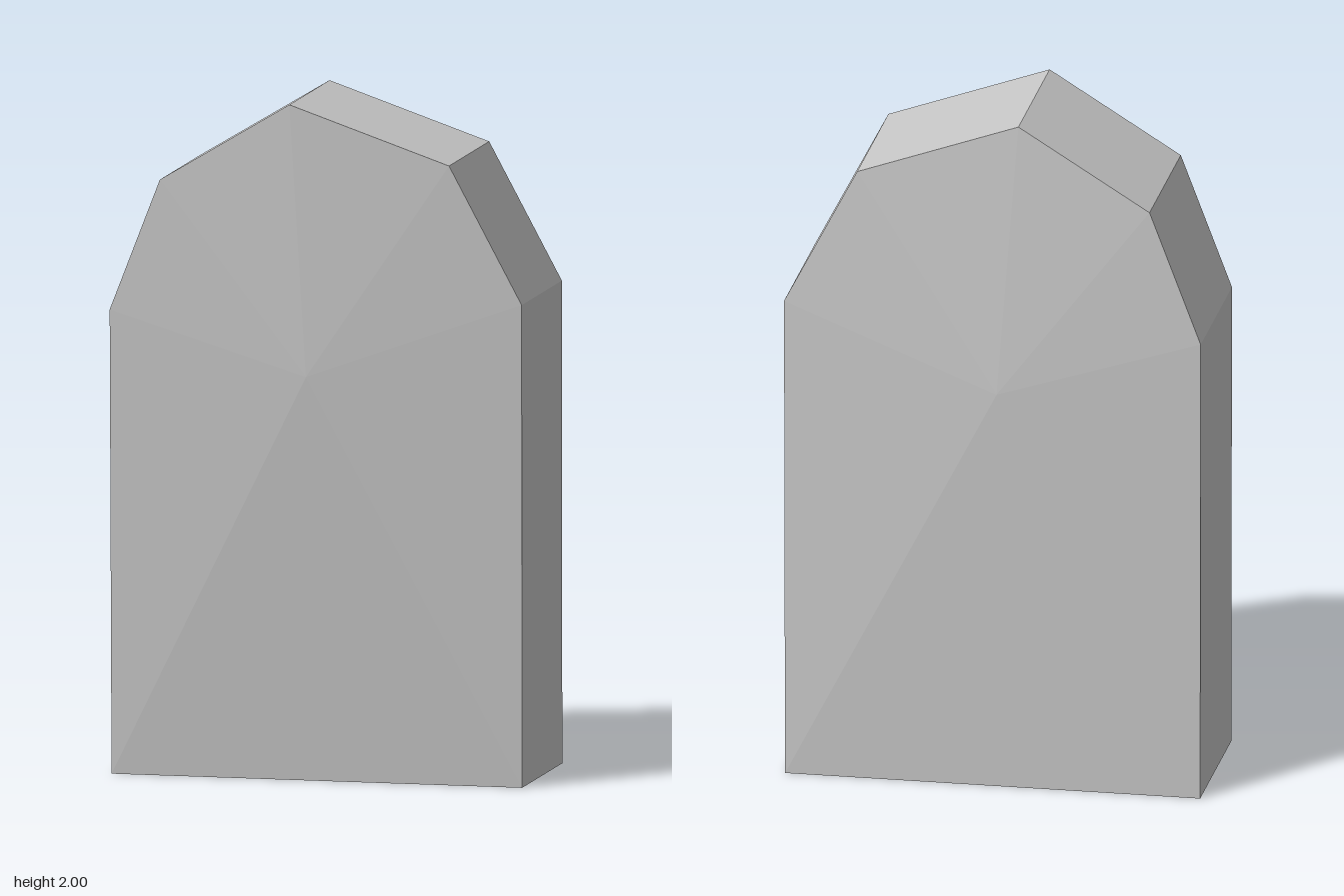
import * as THREE from 'three';

export function createModel() {
  const group = new THREE.Group();
  const stone = new THREE.MeshStandardMaterial({ color: 0xc7c7c7 });
  stone.name = 'pale stone grey';
  stone.flatShading = true;

  // Irregular arched outline, counter-clockwise from the front
  const outline = [
    [-0.622, 0], [0.605, 0], [0.622, 1.43], [0.41, 1.835],
    [-0.065, 2], [-0.455, 1.765], [-0.61, 1.375],
  ];
  const count = outline.length;

  // The slab leans forward as it rises
  const lean = (y) => 0.054 * y;
  const front = outline.map(([x, y]) => [x, y, 0.197 + lean(y)]);
  const back = outline.map(([x, y]) => [x, y, -0.308 + lean(y)]);

  // Each broad face swells slightly to a point at the outline's middle
  const midX = outline.reduce((sum, p) => sum + p[0], 0) / count;
  const midY = outline.reduce((sum, p) => sum + p[1], 0) / count;
  const frontHub = [midX, midY, 0.302];
  const backHub = [midX, midY, -0.288];

  const addPart = (name, triangles) => {
    const geometry = new THREE.BufferGeometry();
    geometry.setAttribute('position', new THREE.Float32BufferAttribute(triangles.flat(2), 3));
    geometry.computeVertexNormals();
    const mesh = new THREE.Mesh(geometry, stone);
    mesh.name = name;
    group.add(mesh);
  };

  const frontFan = [], backFan = [], rim = [];
  for (let i = 0; i < count; i++) {
    const j = (i + 1) % count;
    frontFan.push([frontHub, front[i], front[j]]);
    backFan.push([backHub, back[j], back[i]]);
    rim.push([front[i], back[i], back[j]], [front[i], back[j], front[j]]);
  }
  addPart('frontFace', frontFan);
  addPart('backFace', backFan);
  addPart('rim', rim);

  group.name = 'standingStone';
  return group;
}
